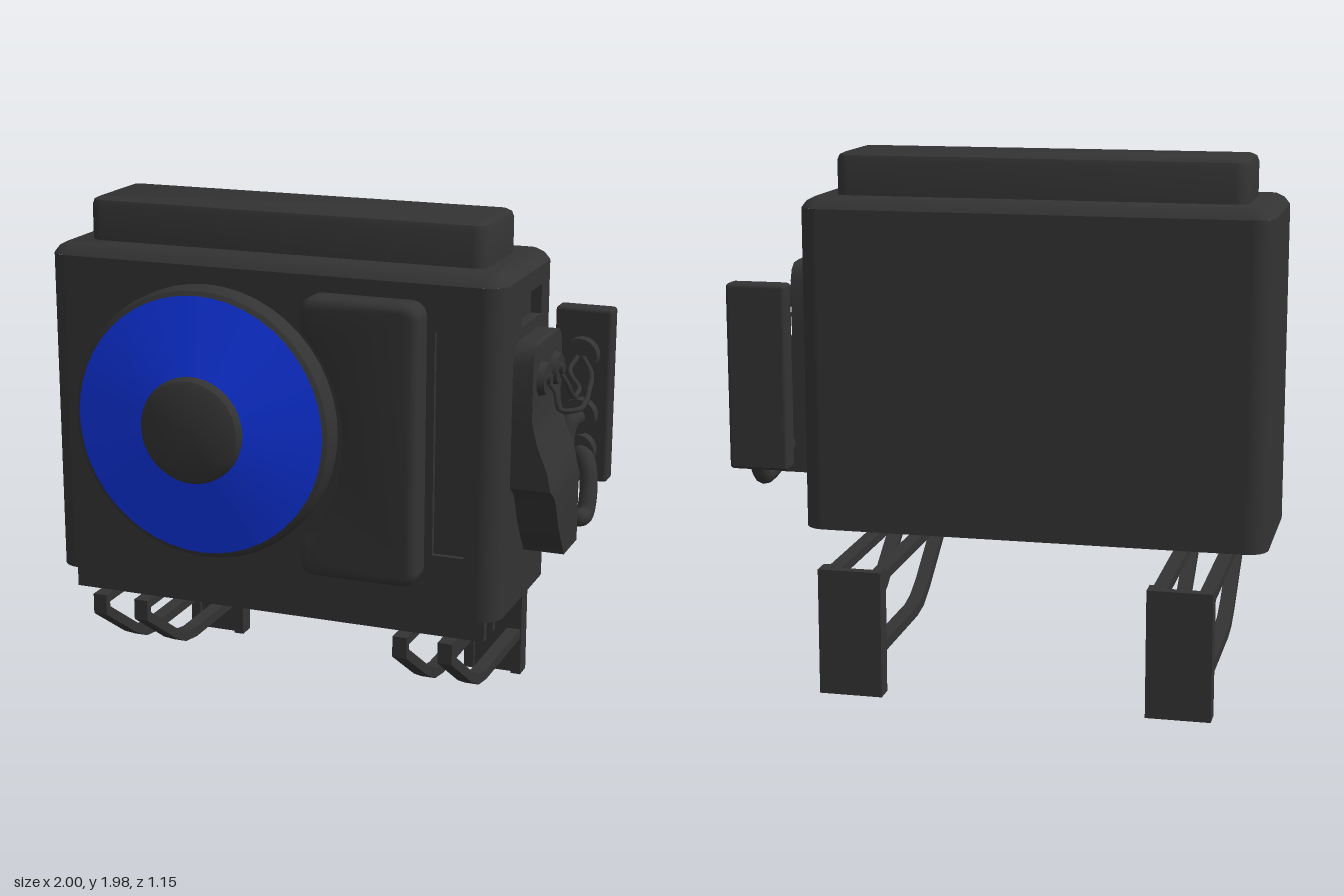
import * as THREE from 'three';
import { toCreasedNormals } from 'three/addons/utils/BufferGeometryUtils.js';
import { RoundedBoxGeometry } from 'three/addons/geometries/RoundedBoxGeometry.js';

const dark = new THREE.MeshStandardMaterial({ color: 0x333333 });
const darkThin = new THREE.MeshStandardMaterial({ color: 0x333333, side: THREE.DoubleSide });
const blue = new THREE.MeshStandardMaterial({ color: 0x1035e6, side: THREE.DoubleSide });

function add(parent, name, geometry, x = 0, y = 0, z = 0, material = dark) {
  const mesh = new THREE.Mesh(geometry, material);
  mesh.name = name;
  mesh.position.set(x, y, z);
  parent.add(mesh);
  return mesh;
}

function box(parent, name, x0, x1, y0, y1, z0, z1) {
  return add(parent, name, new THREE.BoxGeometry(x1 - x0, y1 - y0, z1 - z0),
    (x0 + x1) / 2, (y0 + y1) / 2, (z0 + z1) / 2);
}

// Skin through convex rings of [x, y, z], listed from the bottom up, with both ends capped
function loft(rings) {
  const n = rings[0].length, pos = [];
  const tri = (...p) => p.forEach(v => pos.push(...v));
  for (let i = 0; i < rings.length - 1; i++) {
    for (let j = 0; j < n; j++) {
      const k = (j + 1) % n;
      tri(rings[i][j], rings[i][k], rings[i + 1][k]);
      tri(rings[i][j], rings[i + 1][k], rings[i + 1][j]);
    }
  }
  const bottom = rings[0], top = rings[rings.length - 1];
  for (let j = 1; j < n - 1; j++) {
    tri(top[0], top[j], top[j + 1]);
    tri(bottom[0], bottom[j + 1], bottom[j]);
  }
  const g = new THREE.BufferGeometry();
  g.setAttribute('position', new THREE.Float32BufferAttribute(pos, 3));
  return toCreasedNormals(g, 0.6);
}

// Horizontal rounded rectangle, shrunk by an inset
function roundedRing(hx, hz, r, y, inset) {
  const ring = [], rr = Math.max(r - inset, 0.01), steps = 5;
  [[1, -1], [-1, -1], [-1, 1], [1, 1]].forEach(([sx, sz], q) => {
    for (let i = 0; i <= steps; i++) {
      const t = (q + i / steps) * Math.PI / 2;
      ring.push([sx * (hx - inset - rr) + rr * Math.cos(t), y, sz * (hz - inset - rr) - rr * Math.sin(t)]);
    }
  });
  return ring;
}
const slab = (hx, hz, r, profile) => loft(profile.map(([y, inset]) => roundedRing(hx, hz, r, y, inset)));

// Flat wall w by h with an optional window [cx, cy, w, h]
function wall(w, h, win) {
  const rect = (T, cx, cy, a, b) => new T([[-1, -1], [1, -1], [1, 1], [-1, 1]]
    .map(([u, v]) => new THREE.Vector2(cx + u * a / 2, cy + v * b / 2)));
  const s = rect(THREE.Shape, 0, 0, w, h);
  if (win) s.holes.push(rect(THREE.Path, ...win));
  return new THREE.ShapeGeometry(s);
}

// Box without its +z face, opening at z = 0
function pocket(w, h, d) {
  const g = new THREE.BoxGeometry(w, h, d).translate(0, 0, -d / 2);
  const idx = Array.from(g.index.array);
  idx.splice(24, 6);
  g.setIndex(idx);
  g.clearGroups();
  return g;
}

function tube(parent, name, pts, r, sides) {
  const curve = new THREE.CatmullRomCurve3(pts.map(p => new THREE.Vector3(...p)));
  add(parent, name, new THREE.TubeGeometry(curve, 40, r, sides), 0, 0, 0, darkThin);
}

function makeCasing() {
  const g = new THREE.Group();
  g.name = 'casing';
  const cx = -0.11, cz = 0.0625, hx = 0.89, hz = 0.3225, r = 0.08, y0 = 0.55, y1 = 1.78;
  const h = y1 - y0, cy = (y0 + y1) / 2, w = 2 * (hx - r), d = 2 * (hz - r);
  // Walls with a slot in the front and a hand grip in the side
  add(g, 'frontWall', wall(w, h, [0.59 - cx, 1.1975 - cy, 0.12, 0.825]), cx, cy, cz + hz);
  add(g, 'frontSlot', pocket(0.12, 0.825, 0.02), 0.59, 1.1975, cz + hz, darkThin);
  add(g, 'backWall', wall(w, h), cx, cy, cz - hz).rotation.y = Math.PI;
  add(g, 'leftWall', wall(d, h, [cz - 0.0375, 1.655 - cy, 0.25, 0.11]), cx + hx, cy, cz).rotation.y = Math.PI / 2;
  add(g, 'handGrip', pocket(0.25, 0.11, 0.04), cx + hx, 1.655, 0.0375, darkThin).rotation.y = Math.PI / 2;
  add(g, 'rightWall', wall(d, h), cx - hx, cy, cz).rotation.y = -Math.PI / 2;
  [[1, 1], [1, -1], [-1, -1], [-1, 1]].forEach(([sx, sz], q) =>
    add(g, 'corner', new THREE.CylinderGeometry(r, r, h, 6, 1, true, q * Math.PI / 2, Math.PI / 2),
      cx + sx * (hx - r), cy, cz + sz * (hz - r)));
  add(g, 'floor', slab(hx, hz, r, [[y0, 0.001], [y0 + 0.02, 0.001]]), cx, 0, cz);
  add(g, 'shoulder', slab(hx, hz, r, [[y1, 0], [1.805, 0.02], [1.82, 0.05]]), cx, 0, cz);
  add(g, 'topCap', slab(0.78, 0.19, 0.05, [[1.8, 0], [1.95, 0], [1.97, 0.008], [1.98, 0.03]]), cx, 0, 0.065);
  return g;
}

function makeFan() {
  const g = new THREE.Group();
  g.name = 'fan';
  const lathe = (name, pts, mat) => add(g, name, toCreasedNormals(new THREE.LatheGeometry(
    pts.map(p => new THREE.Vector2(...p)), 48).rotateX(Math.PI / 2), 0.5), 0, 0, 0, mat);
  lathe('fanRim', [[0.515, 0.38], [0.515, 0.44], [0.505, 0.462], [0.488, 0.472]], darkThin);
  lathe('fanDisc', [[0.49, 0.471], [0.2, 0.525]], blue);
  lathe('fanHub', [[0.2, 0.51], [0.2, 0.54], [0.19, 0.558], [0.165, 0.57], [0, 0.575]], darkThin);
  g.position.set(-0.35, 1.2, 0);
  return g;
}

// Raised panel whose edge is scooped out around the fan
function panelGeometry() {
  const s = new THREE.Shape(), a = Math.acos(0.43 / 0.595), c = 0.03;
  s.moveTo(0.08 + c, 0.71);
  s.lineTo(0.47 - c, 0.71);
  s.quadraticCurveTo(0.47, 0.71, 0.47, 0.71 + c);
  s.lineTo(0.47, 1.69 - c);
  s.quadraticCurveTo(0.47, 1.69, 0.47 - c, 1.69);
  s.lineTo(0.08 + c, 1.69);
  s.quadraticCurveTo(0.08, 1.69, 0.08, 1.69 - c);
  s.absarc(-0.35, 1.2, 0.595, a, -a, true);
  s.lineTo(0.08, 0.71 + c);
  s.quadraticCurveTo(0.08, 0.71, 0.08 + c, 0.71);
  return toCreasedNormals(new THREE.ExtrudeGeometry(s, {
    depth: 0.1, bevelThickness: 0.03, bevelSize: 0.03, bevelSegments: 3, curveSegments: 20 }), 0.6);
}

function makeConnections() {
  const g = new THREE.Group();
  g.name = 'connections';
  // Valve cover rows: height, front z, back z, outer x
  const rows = [[0.735, 0.065, -0.115, 0.935], [0.755, 0.075, -0.115, 0.935], [0.8, 0.11, -0.115, 0.935],
    [0.88, 0.16, -0.115, 0.935], [0.96, 0.195, -0.115, 0.935], [1.0, 0.22, -0.115, 0.933],
    [1.03, 0.26, -0.115, 0.93], [1.1, 0.26, -0.115, 0.915], [1.2, 0.26, -0.115, 0.875],
    [1.28, 0.26, -0.115, 0.855], [1.49, 0.26, -0.115, 0.855], [1.53, 0.245, -0.1, 0.855],
    [1.552, 0.222, -0.078, 0.853], [1.56, 0.19, -0.045, 0.845]];
  add(g, 'valveCover', loft(rows.map(([y, zf, zb, x]) =>
    [[x, y, zb], [0.77, y, zb], [0.77, y, zf], [x, y, zf]])));
  for (const z of [0.155, -0.01]) {
    add(g, 'cableSocket', new THREE.CylinderGeometry(0.055, 0.065, 0.03, 24).rotateZ(-Math.PI / 2), 0.865, 1.42, z);
    add(g, 'cablePlug', new THREE.CylinderGeometry(0.02, 0.02, 0.02, 12).rotateZ(-Math.PI / 2), 0.885, 1.42, z);
  }
  tube(g, 'cable', [[0.87, 1.42, 0.155], [0.91, 1.38, 0.165], [0.93, 1.315, 0.17], [0.985, 1.31, 0.13],
    [0.98, 1.305, 0], [0.94, 1.29, -0.2], [0.91, 1.32, -0.35], [0.85, 1.36, -0.45]], 0.01, 8);
  tube(g, 'cable', [[0.87, 1.42, -0.01], [0.9, 1.37, -0.02], [0.92, 1.31, -0.05], [0.91, 1.295, -0.15],
    [0.88, 1.285, -0.28], [0.82, 1.32, -0.37], [0.83, 1.36, -0.45]], 0.01, 8);
  tube(g, 'pipe', [[0.89, 1.03, -0.08], [0.89, 0.99, -0.15], [0.87, 0.94, -0.25], [0.83, 0.95, -0.33],
    [0.81, 1.05, -0.38], [0.82, 1.11, -0.41], [0.84, 1.12, -0.46]], 0.035, 12);
  tube(g, 'pipe', [[0.88, 0.86, -0.08], [0.89, 0.83, -0.15], [0.9, 0.78, -0.24], [0.91, 0.77, -0.32],
    [0.91, 0.85, -0.37], [0.89, 0.95, -0.41], [0.85, 0.98, -0.46]], 0.035, 12);
  // Wall plate with three sockets
  add(g, 'wallPlate', new RoundedBoxGeometry(0.225, 0.69, 0.085, 2, 0.015), 0.8375, 1.195, -0.5325);
  for (const y of [1.36, 1.12, 0.98])
    add(g, 'wallSocket', new THREE.CylinderGeometry(0.07, 0.07, 0.06, 20).rotateX(Math.PI / 2), 0.8375, y, -0.47);
  return g;
}

// Wall bracket: slotted plate with two looped arms
function makeBracket(x) {
  const g = new THREE.Group();
  g.name = 'bracket';
  const v = pts => pts.map(p => new THREE.Vector2(...p));
  const s = new THREE.Shape(v([[-0.49, 0.155], [-0.03, 0.155], [0.07, 0.17], [0.16, 0.215],
    [0.41, 0.38], [0.41, 0.46], [-0.49, 0.46]]));
  s.holes.push(new THREE.Path(v([[-0.48, 0.195], [-0.02, 0.195], [0.06, 0.21], [0.145, 0.25],
    [0.38, 0.405], [0.38, 0.425], [-0.48, 0.425]])));
  const arm = new THREE.ExtrudeGeometry(s, { depth: 0.055, bevelEnabled: false }).rotateY(-Math.PI / 2);
  for (const side of [-1, 1]) {
    add(g, 'arm', arm, side * 0.0875 + 0.0275, 0, 0);
    box(g, 'plateFlange', side * 0.1 - 0.02, side * 0.1 + 0.02, 0, 0.48, -0.53, -0.48);
  }
  box(g, 'backPlate', -0.12, 0.12, 0, 0.48, -0.555, -0.525);
  box(g, 'plateWeb', -0.08, 0.08, 0, 0.475, -0.526, -0.5);
  add(g, 'bolt', new THREE.CylinderGeometry(0.055, 0.055, 0.02, 6).rotateX(Math.PI / 2), 0, 0.31, -0.495);
  g.position.x = x;
  return g;
}

export function createModel() {
  const model = new THREE.Group();
  model.name = 'outdoorUnit';
  model.add(makeCasing(), makeFan(), makeConnections());
  add(model, 'frontPanel', panelGeometry(), 0, 0, 0.36);
  // Channel rail under the front of the casing
  box(model, 'railWeb', -0.94, 0.72, 0.525, 0.55, 0.205, 0.345);
  box(model, 'railLip', -0.94, 0.72, 0.46, 0.53, 0.31, 0.345);
  box(model, 'railLip', -0.94, 0.72, 0.46, 0.53, 0.205, 0.235);
  for (const x of [-0.725, 0.505]) model.add(makeBracket(x));
  return model;
}
